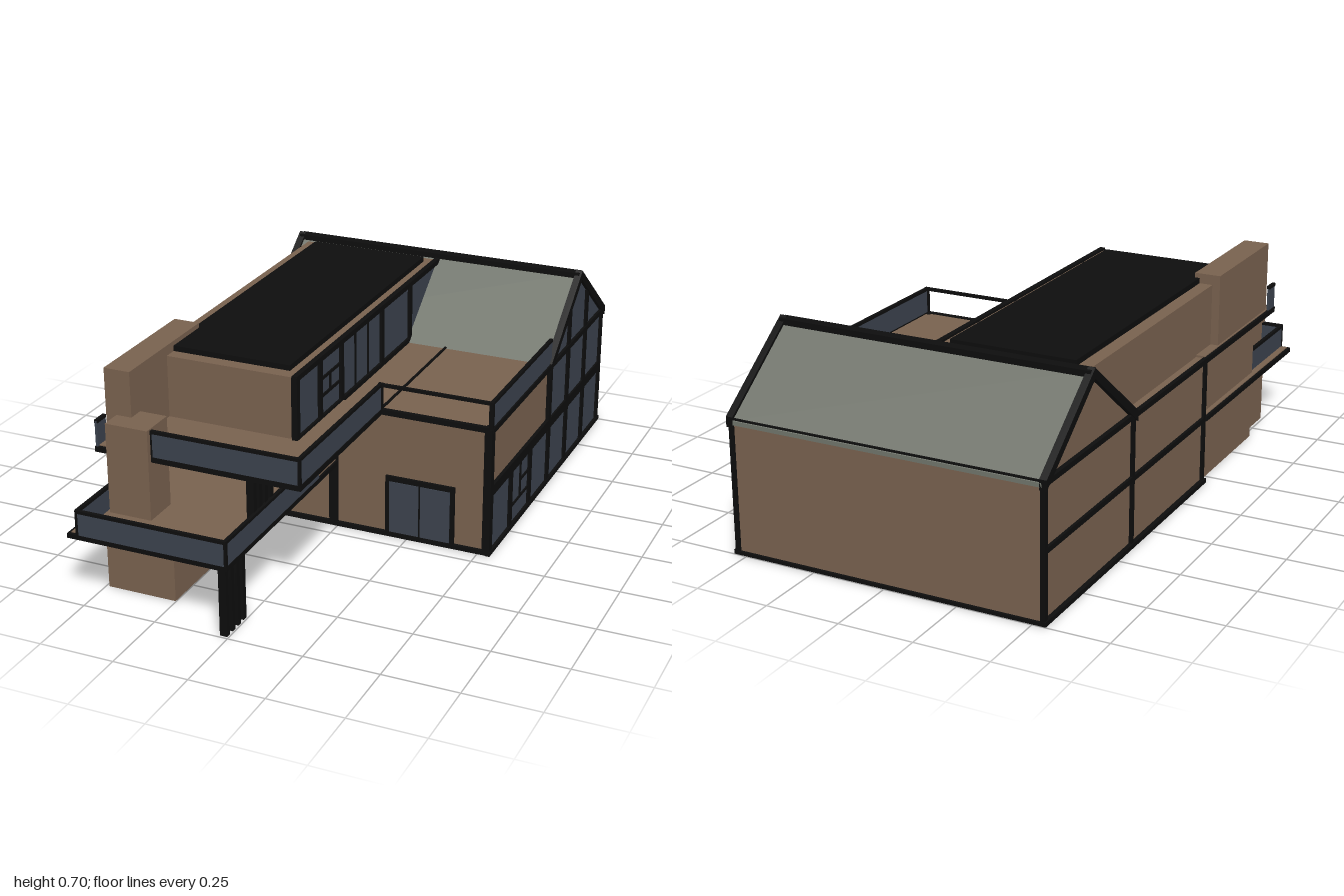
import * as THREE from 'three';

const make = (name, color) => {
  const m = new THREE.MeshStandardMaterial({ color });
  m.name = name;
  return m;
};

export function createModel() {
  const house = new THREE.Group();
  house.name = 'house';
  const timber = make('brown cladding', 0x78614e);
  const black = make('black trim', 0x0d0d0d);
  const glass = make('blue grey glass', 0x3b424d);
  const slate = make('grey green roof', 0x70746b);

  // box given by its limits on each axis
  const box = (name, mat, x0, x1, y0, y1, z0, z1) => {
    const mesh = new THREE.Mesh(new THREE.BoxGeometry(x1 - x0, y1 - y0, z1 - z0), mat);
    mesh.position.set((x0 + x1) / 2, (y0 + y1) / 2, (z0 + z1) / 2);
    mesh.name = name;
    house.add(mesh);
  };
  // profile of [z, y] points extruded from x0 to x1
  const prism = (name, mat, pts, x0, x1) => {
    const shape = new THREE.Shape(pts.map(([z, y]) => new THREE.Vector2(z, y)));
    const geo = new THREE.ExtrudeGeometry(shape, { depth: x1 - x0, bevelEnabled: false });
    geo.rotateY(-Math.PI / 2).translate(x1, 0, 0);
    const mesh = new THREE.Mesh(geo, mat);
    mesh.name = name;
    house.add(mesh);
  };
  // glass balustrades with a dark cap, along z or along x
  const railZ = (name, x, y0, y1, z0, z1) => {
    box(name + 'Glass', glass, x - 0.004, x + 0.004, y0, y1, z0, z1);
    box(name + 'Cap', black, x - 0.006, x + 0.006, y1 - 0.007, y1 + 0.003, z0, z1);
  };
  const railX = (name, z, y0, y1, x0, x1) => {
    box(name + 'Glass', glass, x0, x1, y0, y1, z - 0.004, z + 0.004);
    box(name + 'Cap', black, x0, x1, y1 - 0.007, y1 + 0.003, z - 0.006, z + 0.006);
    for (const x of [x0, x1]) box(name + 'End', black, x - 0.004, x + 0.004, y0, y1 + 0.003, z - 0.006, z + 0.006);
  };

  // main two storey block
  box('mainWalls', timber, -0.53, 0.53, 0.002, 0.452, -0.99, 0.185);
  box('floorUnderside', timber, -0.53, 0.53, 0, 0.004, -0.985, 0.18);
  for (const x of [-0.545, 0.53]) {
    box('baseTrimSide', black, x, x + 0.015, 0.001, 0.016, -1, 0.2);
    box('eaveTrimSide', black, x, x + 0.015, 0.438, 0.456, -0.99, 0.195);
  }
  box('baseTrimFront', black, -0.54, 0.54, 0.001, 0.016, 0.18, 0.198);
  box('baseTrimBack', black, -0.54, 0.54, 0.001, 0.012, -1, -0.985);
  box('eaveTrimFront', black, 0, 0.54, 0.438, 0.456, 0.18, 0.196);
  box('eaveTrimBack', black, -0.54, 0.54, 0.44, 0.455, -0.998, -0.985);
  box('leftMidBand', black, -0.54, -0.53, 0.225, 0.243, -0.99, 0.2);
  for (const z of [-0.985, -0.39, 0.185]) box('leftPost', black, -0.54, -0.528, 0, 0.45, z - 0.008, z + 0.008);
  for (const x of [-0.54, 0.525]) box('backPost', black, x, x + 0.015, 0, 0.45, -0.998, -0.98);
  box('frontCornerPost', black, 0.515, 0.542, 0, 0.455, 0.17, 0.195);
  box('frontMiddlePost', black, -0.03, 0, 0, 0.45, 0.18, 0.195);

  // gable roof
  const slope = (z) => 0.45 + 0.235 * (1 - Math.abs(z + 0.69) / 0.305);
  prism('gableInfill', timber, [[-0.985, 0.44], [-0.395, 0.44], [-0.69, 0.675]], -0.53, 0.53);
  const chevron = (t, up) => [[-1, 0.445 + up], [-1, 0.445 + up - t], [-0.69, 0.682 + up - t],
    [-0.38, 0.445 + up - t], [-0.38, 0.445 + up], [-0.69, 0.682 + up]];
  prism('roofSlopes', slate, chevron(0.014, 0.003), -0.53, 0.53);
  for (const x of [-0.547, 0.523]) prism('rakeTrim', black, chevron(0.034, 0.014), x, x + 0.024);
  box('ridgeCap', black, -0.54, 0.54, 0.665, 0.69, -0.71, -0.672);

  // glazed right side
  prism('gableGlass', glass, [[-0.985, 0.24], [-0.4, 0.24], [-0.4, 0.445], [-0.69, 0.67], [-0.985, 0.445]], 0.53, 0.535);
  box('lowerGlassRow', glass, 0.53, 0.535, 0.01, 0.225, -0.985, 0.185);
  box('rightMidBand', black, 0.53, 0.542, 0.21, 0.246, -0.99, 0.19);
  for (let i = 0; i < 7; i++) {
    const z = 0.185 - i * 0.1945;
    const top = i === 0 ? 0.45 : i < 3 ? 0.23 : slope(z) - 0.005;
    box('rightMullion', black, 0.528, 0.542, 0, top, z - 0.014, z + 0.014);
  }
  box('ventMullion', black, 0.53, 0.54, 0.08, 0.21, -0.114, -0.106);
  box('ventTransom', black, 0.53, 0.54, 0.076, 0.084, -0.2, -0.01);
  box('ventSmallTransom', black, 0.53, 0.54, 0.138, 0.146, -0.2, -0.11);

  // double front door
  box('frontDoorFrame', black, 0.174, 0.416, 0.005, 0.221, 0.18, 0.196);
  for (const x of [0.189, 0.299]) box('frontDoorGlass', glass, x, x + 0.103, 0.02, 0.204, 0.19, 0.199);

  // lower balcony
  box('lowerDeckEdge', black, -0.545, 0.003, 0.227, 0.243, 0.19, 0.998);
  box('lowerDeckFloor', timber, -0.535, -0.006, 0.225, 0.246, 0.19, 0.988);
  railX('lowerFrontRail', 0.994, 0.243, 0.325, -0.508, 0);
  railZ('lowerRightRail', -0.002, 0.243, 0.325, 0.34, 0.996);
  railZ('lowerLeftRail', -0.508, 0.243, 0.325, 0.67, 0.996);

  // upper balcony
  box('upperDeckEdge', black, -0.545, 0.16, 0.438, 0.456, 0.19, 0.81);
  box('upperDeckFloor', timber, -0.535, 0.148, 0.436, 0.459, 0.18, 0.8);
  railX('upperFrontRail', 0.805, 0.455, 0.542, -0.345, 0.155);
  railZ('upperRightRail', 0.153, 0.455, 0.542, 0.19, 0.808);
  railZ('upperLeftRail', -0.538, 0.455, 0.542, 0.755, 0.808);

  // terrace with side balustrade and open front handrail
  railZ('terraceRail', 0.535, 0.455, 0.542, -0.4, 0.192);
  box('terraceHandrail', black, 0.155, 0.54, 0.535, 0.545, 0.184, 0.196);
  box('terraceSeam', black, 0.15, 0.158, 0.45, 0.457, -0.39, 0.19);
  for (const x of [0.153, 0.535]) box('terraceRailPost', black, x - 0.007, x + 0.007, 0.45, 0.545, 0.182, 0.196);

  // grouped corner posts below each balcony
  for (let i = 0; i < 4; i++) {
    box('lowerPost', black, -0.03, -0.005, 0, 0.23, 0.862 + i * 0.037, 0.88 + i * 0.037);
    box('upperPost', black, -0.03, -0.005, 0.24, 0.44, 0.66 + i * 0.038, 0.68 + i * 0.038);
  }

  // ground store with rear door
  box('groundStore', timber, -0.49, -0.252, 0, 0.228, 0.525, 0.862);
  box('storeDoorFrame', black, -0.45, -0.35, 0.01, 0.2, 0.518, 0.526);
  box('storeDoorGlass', glass, -0.437, -0.363, 0.022, 0.188, 0.515, 0.52);

  // room behind the lower balcony, with sliding window
  box('middleRoom', timber, -0.52, -0.005, 0.24, 0.44, 0.18, 0.338);
  box('slidingWindowFrame', black, -0.288, -0.05, 0.245, 0.44, 0.335, 0.346);
  for (const x of [-0.275, -0.168]) box('slidingWindowGlass', glass, x, x + 0.102, 0.258, 0.43, 0.341, 0.349);

  // left screen wall and chimneys
  box('screenWall', timber, -0.52, -0.49, 0, 0.44, 0.18, 0.67);
  box('tallChimney', timber, -0.53, -0.44, 0.415, 0.702, 0.305, 0.757);
  box('shortChimney', timber, -0.493, -0.346, 0.22, 0.55, 0.703, 0.828);

  // top storey
  box('topStorey', timber, -0.503, 0.003, 0.45, 0.668, -0.67, 0.523);
  box('flatRoofPanel', black, -0.457, -0.03, 0.66, 0.686, -0.632, 0.478);
  box('topGlass', glass, 0, 0.009, 0.46, 0.66, -0.66, 0.522);
  box('topWindowHead', black, 0, 0.018, 0.657, 0.675, -0.67, 0.53);
  box('topWindowSill', black, 0, 0.018, 0.452, 0.468, -0.67, 0.53);
  for (const z of [0.52, 0.35, 0.185, -0.15, -0.4]) {
    box('topMullion', black, -0.002, 0.018, 0.455, 0.67, z - 0.011, z + 0.011);
  }
  for (const z of [0.07, -0.035]) box('topThinMullion', black, 0, 0.014, 0.46, 0.66, z - 0.003, z + 0.003);
  box('topVentTransom', black, 0, 0.014, 0.587, 0.597, 0.19, 0.35);
  box('topVentLowerTransom', black, 0, 0.014, 0.527, 0.537, 0.19, 0.35);
  box('topVentMullion', black, 0, 0.014, 0.532, 0.592, 0.267, 0.275);

  return house;
}
